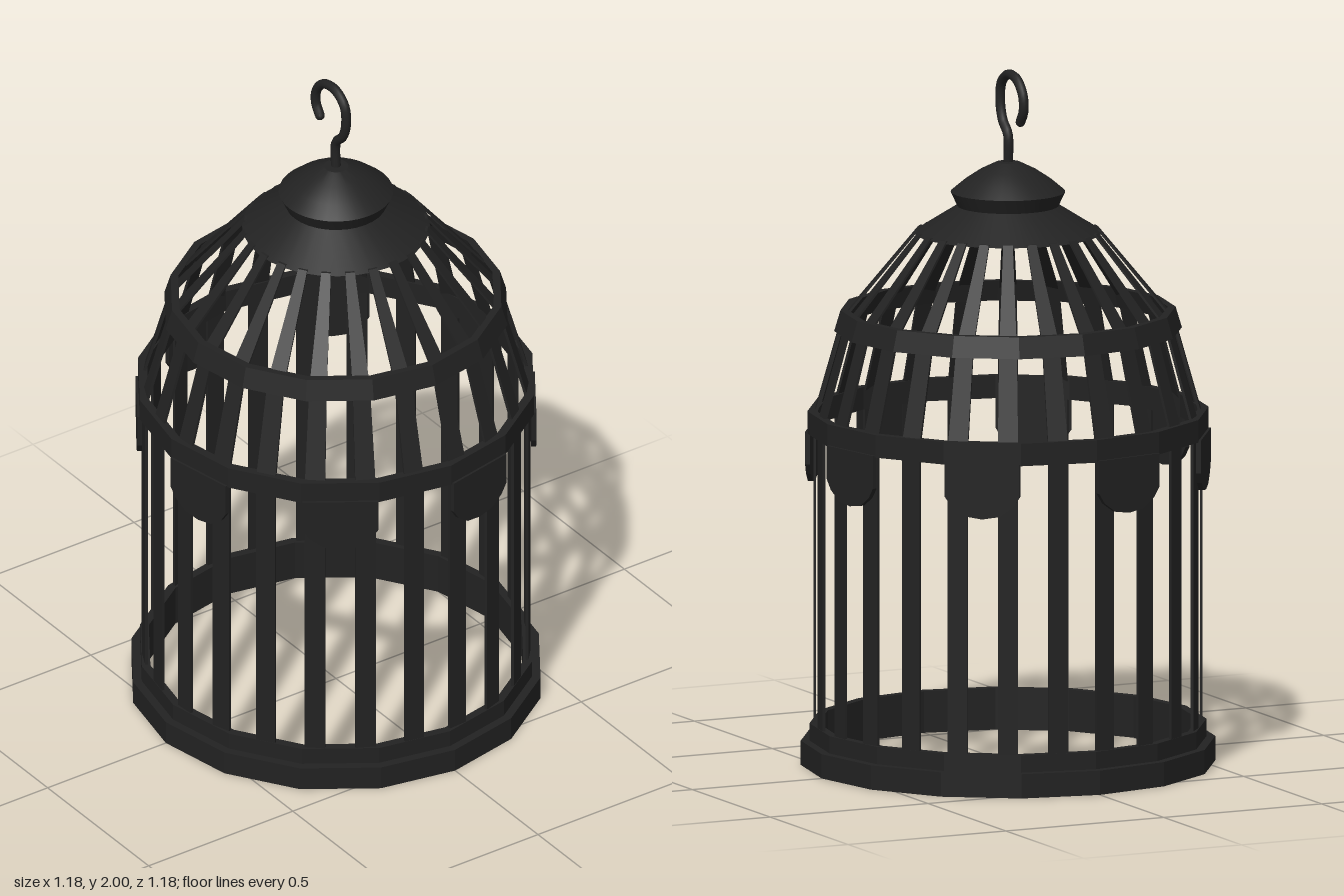
import * as THREE from 'three';
import { toCreasedNormals } from 'three/addons/utils/BufferGeometryUtils.js';

const SIDES = 16;
const BARS = 24;

export function createModel() {
  const cage = new THREE.Group();
  cage.name = 'birdcage';
  const blackMetal = new THREE.MeshStandardMaterial({ color: 0x222222 });
  blackMetal.name = 'black metal';

  const add = (name, geometry, parent = cage) => {
    const mesh = new THREE.Mesh(geometry, blackMetal);
    mesh.name = name;
    parent.add(mesh);
    return mesh;
  };

  // Turned part from [radius, height] pairs, facets kept sharp when few-sided
  const turned = (name, profile, sides) => {
    const points = profile.map(([r, y]) => new THREE.Vector2(r, y));
    return add(name, toCreasedNormals(new THREE.LatheGeometry(points, sides), 0.3));
  };

  // Hollow base with a stepped outer edge
  turned('baseRing', [[0.59, 0], [0.59, 0.07], [0.565, 0.07], [0.565, 0.12],
    [0.54, 0.12], [0.54, 0], [0.59, 0]], SIDES);

  // Bands round the shoulder and the dome
  turned('shoulderBand', [[0.571, 0.955], [0.571, 1.02], [0.545, 1.02],
    [0.545, 0.955], [0.571, 0.955]], SIDES);
  turned('domeBand', [[0.495, 1.25], [0.477, 1.31], [0.455, 1.31],
    [0.472, 1.25], [0.495, 1.25]], SIDES);

  // Conical roof and the small domed cap on it
  turned('roof', [[0, 1.53], [0.267, 1.53], [0.14, 1.61], [0, 1.61]], 32);
  turned('cap', [[0, 1.605], [0.143, 1.605], [0.163, 1.648], [0.125, 1.68],
    [0.08, 1.71], [0.035, 1.732], [0, 1.735]], 32);

  // Flat bars, upright below and bent inwards over the dome, narrowing with radius
  const path = [[0.553, 0.06], [0.553, 1.0], [0.474, 1.28], [0.262, 1.537]];
  const barGeometry = new THREE.BoxGeometry(1, path.length - 1, 1, 1, path.length - 1, 1);
  const pos = barGeometry.attributes.position;
  for (let i = 0; i < pos.count; i++) {
    const [r, y] = path[Math.round(pos.getY(i) + (path.length - 1) / 2)];
    const inset = pos.getZ(i) > 0 ? 0 : 0.008;
    pos.setXYZ(i, pos.getX(i) * r * 0.105, y, r - inset);
  }
  const barShape = toCreasedNormals(barGeometry, 0.1);
  const bars = new THREE.Group();
  bars.name = 'bars';
  cage.add(bars);
  for (let i = 0; i < BARS; i++) {
    add('bar', barShape, bars).rotation.y = ((i + 0.25) / BARS) * Math.PI * 2;
  }

  // Rounded scallops hanging from every second face of the shoulder band
  const w = 0.108;
  const outline = new THREE.Shape();
  outline.moveTo(-w, 0.96);
  outline.lineTo(-w, 0.865);
  outline.lineTo(-0.088, 0.835);
  outline.lineTo(-0.05, 0.808);
  outline.lineTo(0, 0.8);
  outline.lineTo(0.05, 0.808);
  outline.lineTo(0.088, 0.835);
  outline.lineTo(w, 0.865);
  outline.lineTo(w, 0.96);
  const scallopShape = new THREE.ExtrudeGeometry(outline, { depth: 0.014, bevelEnabled: false });
  scallopShape.translate(0, 0, 0.553);
  const scallops = new THREE.Group();
  scallops.name = 'scallops';
  cage.add(scallops);
  for (let i = 0; i < SIDES; i += 2) {
    add('scallop', scallopShape, scallops).rotation.y = ((i + 0.5) / SIDES) * Math.PI * 2;
  }

  // Hanging hook with rounded tip
  const hookPath = new THREE.CatmullRomCurve3([
    [0, 1.72], [0, 1.81], [0.035, 1.85], [0.05, 1.9], [0.042, 1.955], [0, 1.985],
    [-0.055, 1.98], [-0.095, 1.94], [-0.1, 1.895], [-0.08, 1.86],
  ].map(([x, y]) => new THREE.Vector3(x, y, 0)));
  add('hook', new THREE.TubeGeometry(hookPath, 40, 0.014, 10));
  add('hookTip', new THREE.SphereGeometry(0.014, 10, 8)).position.set(-0.08, 1.86, 0);

  return cage;
}
